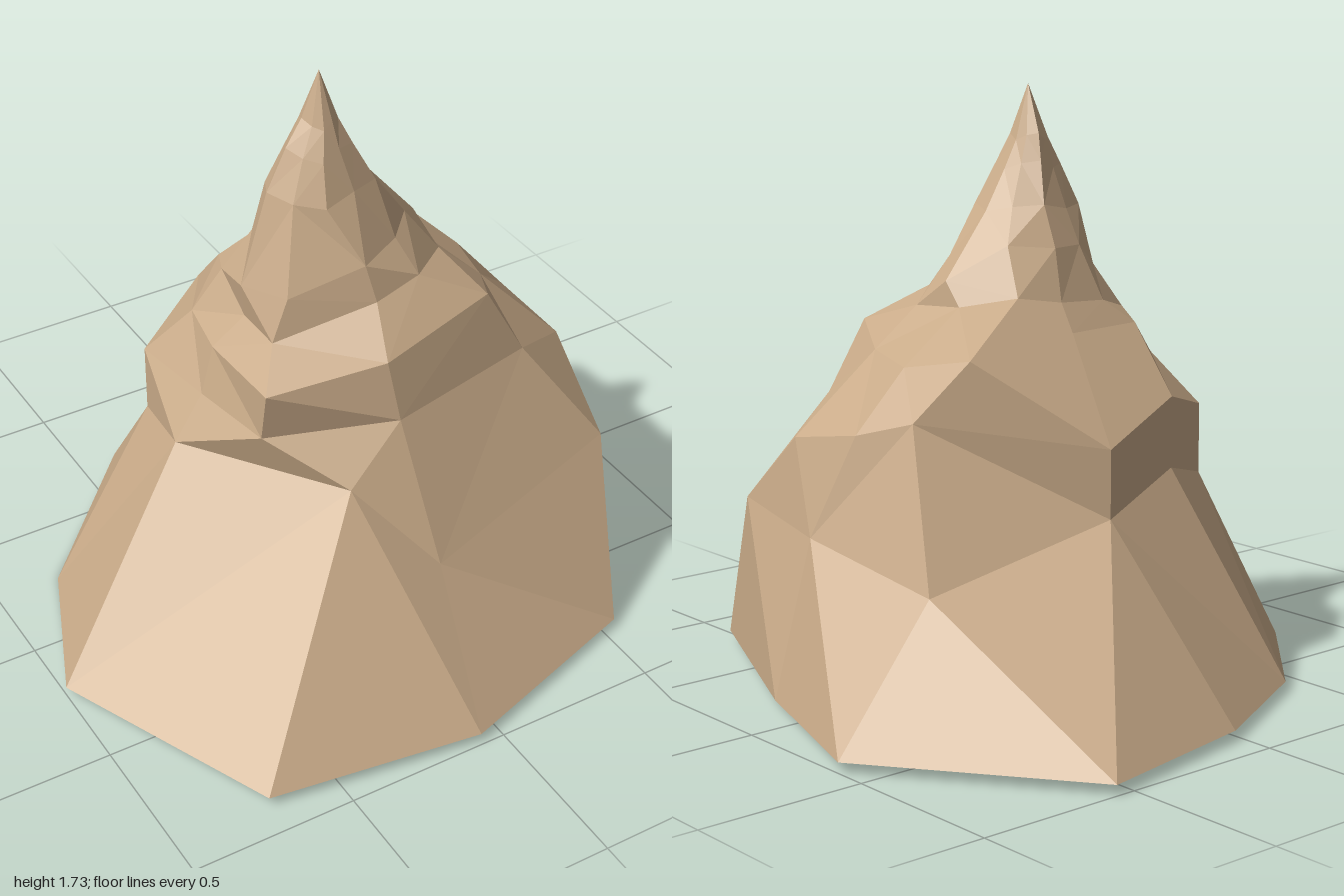
import * as THREE from 'three';

const SIDES = 10;

// Irregular outlines of the lower mountain, each walked left, back, right, front.
const base = [
  [-1, 0.03, 0.22], [-0.8, 0, -0.26], [-0.39, 0.03, -0.69], [0.03, 0.03, -0.9], [0.56, 0.03, -1],
  [1, 0.03, -0.4], [0.83, 0.03, 0.13], [0.54, 0.03, 0.79], [-0.07, 0.03, 0.99], [-0.71, 0.03, 0.9],
];
const cliffFoot = [
  [-0.53, 0.63, 0.05], [-0.48, 0.56, -0.23], [-0.21, 0.64, -0.39], [0.1, 0.55, -0.47], [0.66, 0.4, -0.36],
  [0.7, 0.48, 0.13], [0.67, 0.5, 0.33], [0.64, 0.52, 0.53], [0, 0.38, 0.65], [-0.21, 0.63, 0.5],
];
const cliffTop = [
  [-0.44, 0.77, 0.05], [-0.48, 0.77, -0.23], [-0.21, 0.85, -0.39], [0.1, 0.75, -0.47], [0.54, 0.83, -0.14],
  [0.61, 0.78, 0.03], [0.64, 0.74, 0.28], [0.43, 0.83, 0.4], [-0.03, 0.79, 0.47], [-0.39, 0.76, 0.31],
];
const shelf = [
  [-0.4, 0.92, 0.05], [-0.37, 0.93, -0.13], [-0.24, 1.04, -0.2], [0.03, 1.04, -0.23], [0.4, 1, -0.22],
  [0.46, 0.96, 0], [0.41, 0.98, 0.2], [0.32, 1.04, 0.37], [-0.05, 0.97, 0.43], [-0.39, 0.92, 0.34],
];

// Outlines of the rocky crown above the shelf.
const crownFoot = [
  [-0.3, 1, 0.06], [-0.29, 1.07, -0.09], [-0.15, 1.11, -0.16], [0.02, 1.12, -0.17], [0.15, 1.14, -0.13],
  [0.26, 1.11, 0], [0.28, 1.1, 0.17], [0.13, 1.13, 0.3], [-0.02, 1.1, 0.32], [-0.3, 1, 0.22],
];
const crownTop = [
  [-0.32, 1.12, 0.08], [-0.21, 1.2, -0.05], [-0.11, 1.27, -0.1], [0, 1.27, -0.12], [0.12, 1.28, -0.05],
  [0.26, 1.18, 0.06], [0.18, 1.24, 0.14], [0.1, 1.22, 0.22], [-0.04, 1.21, 0.29], [-0.25, 1.13, 0.22],
];

// Roughened circle for the narrow spire
function spireRing(x, y, z, rx, rz, rough) {
  return Array.from({ length: SIDES }, (_, i) => {
    const a = (i / SIDES) * Math.PI * 2;
    const k = 1 + rough * Math.sin(i * 2.4 + 0.7);
    return [x - Math.cos(a) * rx * k, y + rough * 0.15 * Math.cos(i * 1.9), z - Math.sin(a) * rz * k];
  });
}

const distance = (p, q) => Math.hypot(p[0] - q[0], p[1] - q[1], p[2] - q[2]);

// Joins successive outlines, splitting each quad along its shorter diagonal
function loft(name, rings, material) {
  const points = [];
  for (let r = 0; r + 1 < rings.length; r++) {
    for (let i = 0; i < SIDES; i++) {
      const j = (i + 1) % SIDES;
      const a = rings[r][i], b = rings[r][j], c = rings[r + 1][i], d = rings[r + 1][j];
      if (distance(a, d) < distance(b, c)) points.push(a, c, d, a, d, b);
      else points.push(a, c, b, b, c, d);
    }
  }
  const geometry = new THREE.BufferGeometry();
  geometry.setAttribute('position', new THREE.Float32BufferAttribute(points.flat(), 3));
  geometry.computeVertexNormals();
  const mesh = new THREE.Mesh(geometry, material);
  mesh.name = name;
  return mesh;
}

export function createModel() {
  const group = new THREE.Group();
  group.name = 'mountain';
  const rock = new THREE.MeshStandardMaterial({ color: 0xc8aa88, flatShading: true, side: THREE.DoubleSide });

  const spireFoot = spireRing(-0.06, 1.38, 0.07, 0.16, 0.13, 0.08);
  const spireNeck = spireRing(-0.065, 1.5, 0.07, 0.095, 0.085, 0.1);
  const spireTop = spireRing(-0.06, 1.58, 0.065, 0.05, 0.06, 0.08);
  const peak = Array(SIDES).fill([-0.06, 1.73, 0.07]);

  group.add(
    loft('lowerSlopes', [base, cliffFoot], rock),
    loft('cliffTerraces', [cliffFoot, cliffTop, shelf, crownFoot], rock),
    loft('rockyCrown', [crownFoot, crownTop, spireFoot], rock),
    loft('summitSpire', [spireFoot, spireNeck, spireTop, peak], rock),
  );
  return group;
}
